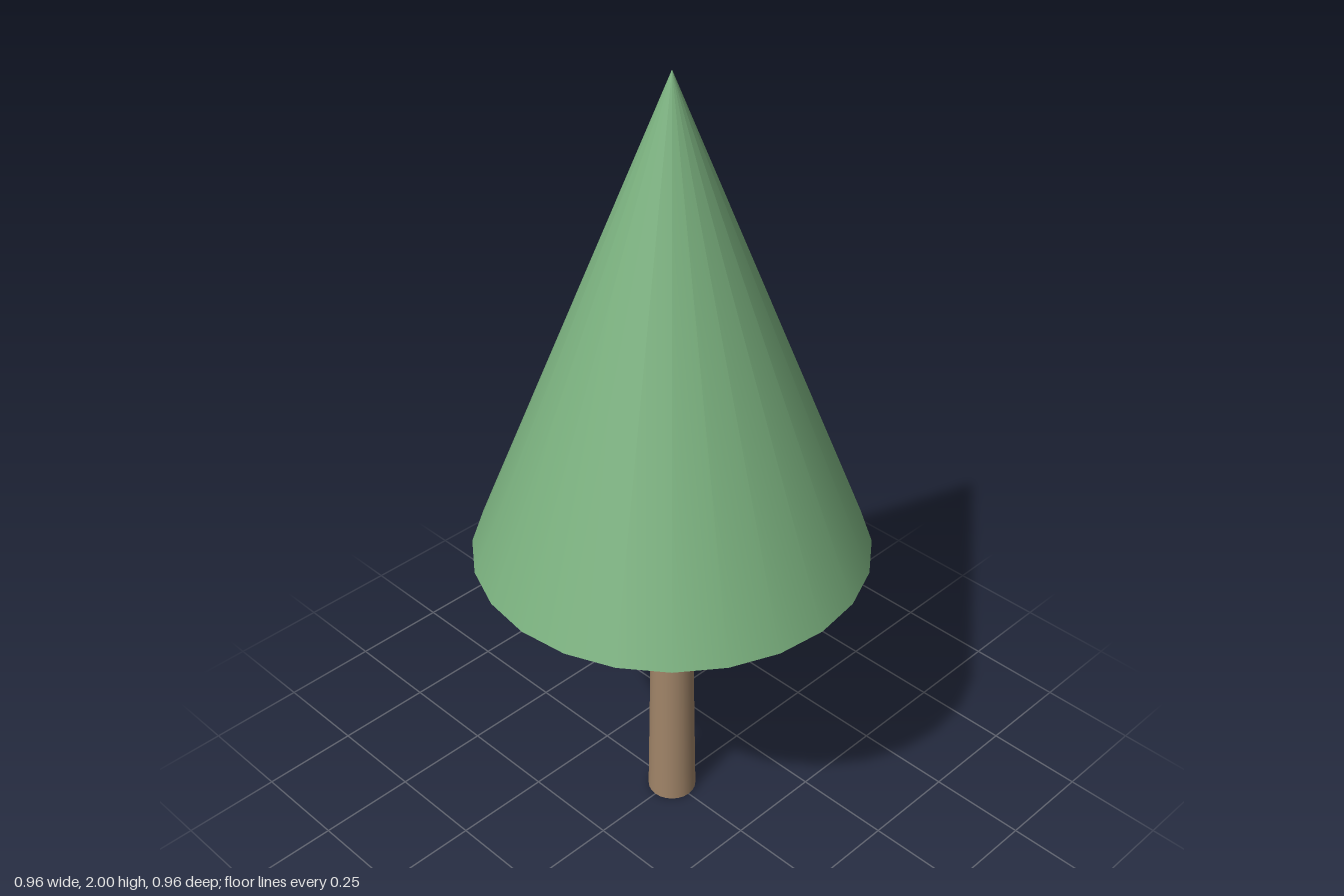
import * as THREE from 'three';

export function createModel() {
  const tree = new THREE.Group();
  tree.name = 'tree';

  const add = (name, geometry, color, y) => {
    const mesh = new THREE.Mesh(geometry, new THREE.MeshStandardMaterial({ color }));
    mesh.name = name;
    mesh.position.y = y;
    tree.add(mesh);
  };

  // Slightly tapered trunk, ending at the underside of the foliage
  add('trunk', new THREE.CylinderGeometry(0.048, 0.062, 0.8, 24), 0xa08468, 0.4);

  // Single closed cone of foliage
  add('foliage', new THREE.ConeGeometry(0.48, 1.2, 24), 0x7ab07e, 1.4);

  return tree;
}
